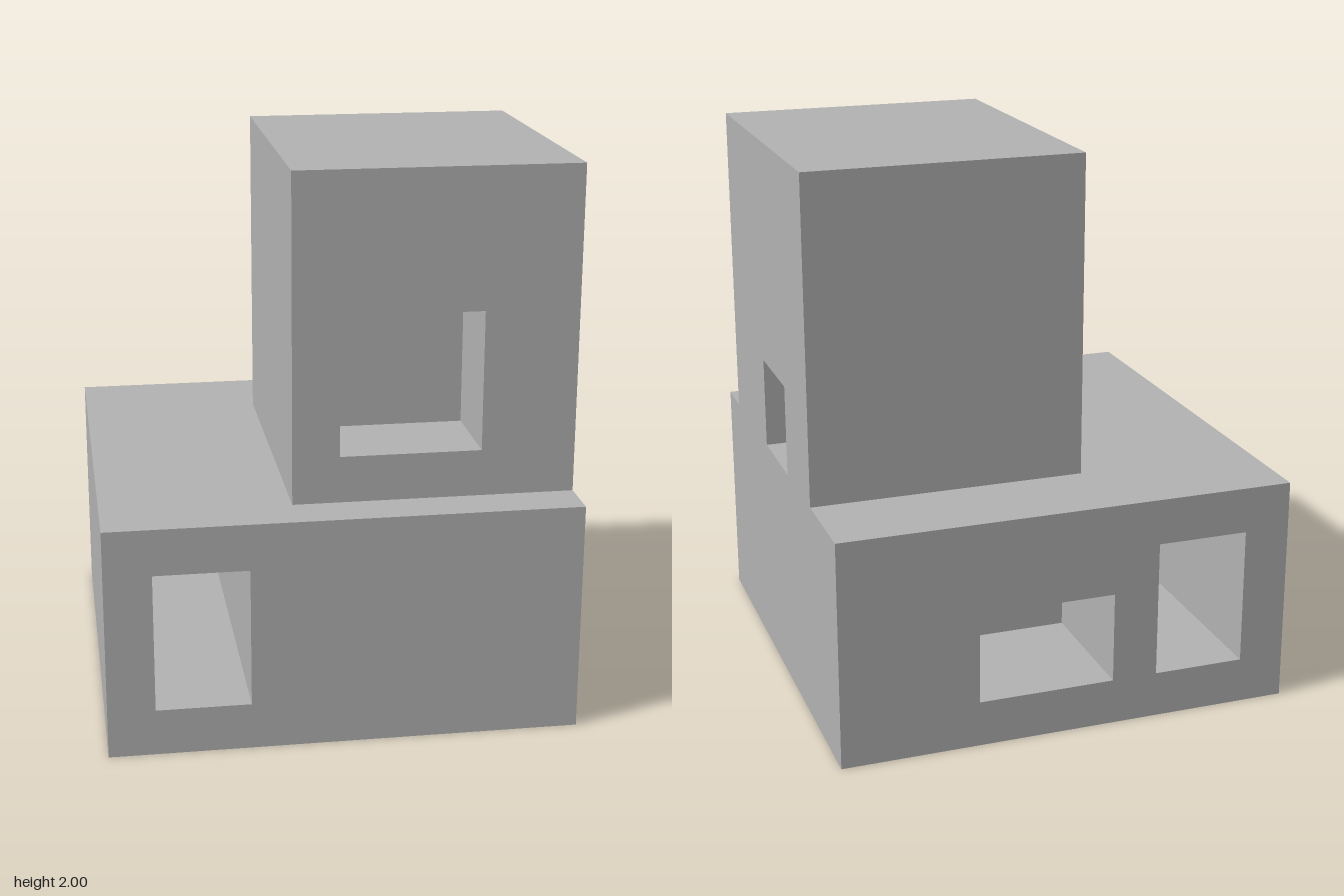
import * as THREE from 'three';
import { mergeGeometries } from 'three/addons/utils/BufferGeometryUtils.js';

// All dimensions below are whole modules; one module is a sixth of a unit.
const MODULE = 1 / 6;

// Facing direction: in-plane axes a and b, normal axis n, and which way u, v and n run.
const SIDES = {
  front: { a: 0, b: 1, n: 2, su: 1, sv: 1, sn: 1 },
  back: { a: 0, b: 1, n: 2, su: -1, sv: 1, sn: -1 },
  right: { a: 2, b: 1, n: 0, su: -1, sv: 1, sn: 1 },
  left: { a: 2, b: 1, n: 0, su: 1, sv: 1, sn: -1 },
  top: { a: 0, b: 2, n: 1, su: 1, sv: -1, sn: 1 },
  bottom: { a: 0, b: 2, n: 1, su: 1, sv: 1, sn: -1 },
};
const OPPOSITE = { front: 'back', back: 'front', right: 'left', left: 'right', top: 'bottom', bottom: 'top' };

const rect = (a0, a1, b0, b1) => [[a0, b0], [a1, b0], [a1, b1], [a0, b1]];

// Flat wall facing one side, given in the two world axes of its plane.
function wall(side, at, outline, holes = []) {
  const { a, b, n, su, sv, sn } = SIDES[side];
  const points = (list) => list.map(([p, q]) => new THREE.Vector2(p * su, q * sv));
  const shape = new THREE.Shape(points(outline));
  for (const hole of holes) shape.holes.push(new THREE.Path(points(hole)));
  const axis = (i, sign) => new THREE.Vector3().setComponent(i, sign);
  const matrix = new THREE.Matrix4()
    .makeBasis(axis(a, su), axis(b, sv), axis(n, sn))
    .setPosition(axis(n, at));
  return new THREE.ShapeGeometry(shape).applyMatrix4(matrix).scale(MODULE, MODULE, MODULE);
}

// Inward-facing lining of a box-shaped recess, left open on the listed sides.
function recess(min, max, open) {
  return Object.keys(SIDES).filter((side) => !open.includes(side)).map((side) => {
    const { a, b, n, sn } = SIDES[side];
    const at = sn > 0 ? max[n] : min[n];
    return wall(OPPOSITE[side], at, rect(min[a], max[a], min[b], max[b]));
  });
}

export function createModel() {
  const group = new THREE.Group();
  group.name = 'blockTower';
  const grey = new THREE.MeshStandardMaterial({ color: 0xb2b2b2 });
  grey.name = 'grey';

  const add = (name, parts) => {
    const mesh = new THREE.Mesh(mergeGeometries(parts), grey);
    mesh.name = name;
    group.add(mesh);
  };

  const tunnelOpening = rect(-4, -2, 1, 4);

  // Wide lower block; its roof wraps around the tower footprint
  add('base', [
    wall('front', 5, rect(-5, 5, 0, 5), [tunnelOpening]),
    wall('back', -5, rect(-5, 5, 0, 5), [tunnelOpening, rect(-1, 2, 1, 3)]),
    wall('left', -5, rect(-5, 5, 0, 5)),
    wall('bottom', 0, rect(-5, 5, -5, 5)),
    wall('top', 5, [[-5, -5], [5, -5], [5, -3], [-1, -3], [-1, 4], [5, 4], [5, 5], [-5, 5]]),
  ]);

  // Upper block
  add('tower', [
    wall('front', 4, rect(-1, 5, 5, 12), [rect(0, 3, 6, 9)]),
    wall('back', -3, rect(-1, 5, 5, 12)),
    wall('left', -1, rect(-3, 4, 5, 12)),
    wall('top', 12, rect(-1, 5, -3, 4)),
  ]);

  // Flush wall shared by base and tower
  add('flushSideWall', [
    wall('right', 5,
      [[-5, 0], [5, 0], [5, 5], [4, 5], [4, 12], [-3, 12], [-3, 5], [-5, 5]],
      [rect(-1, 1, 5, 7)]),
  ]);

  // Openings: one runs right through the base, the others are blind
  add('baseTunnel', recess([-4, 1, -5], [-2, 4, 5], ['front', 'back']));
  add('baseBackRecess', recess([-1, 1, -5], [2, 3, -2], ['back']));
  add('towerFrontWindow', recess([0, 6, 2], [3, 9, 4], ['front']));
  add('towerSideDoor', recess([3, 5, -1], [5, 7, 1], ['right']));

  return group;
}
